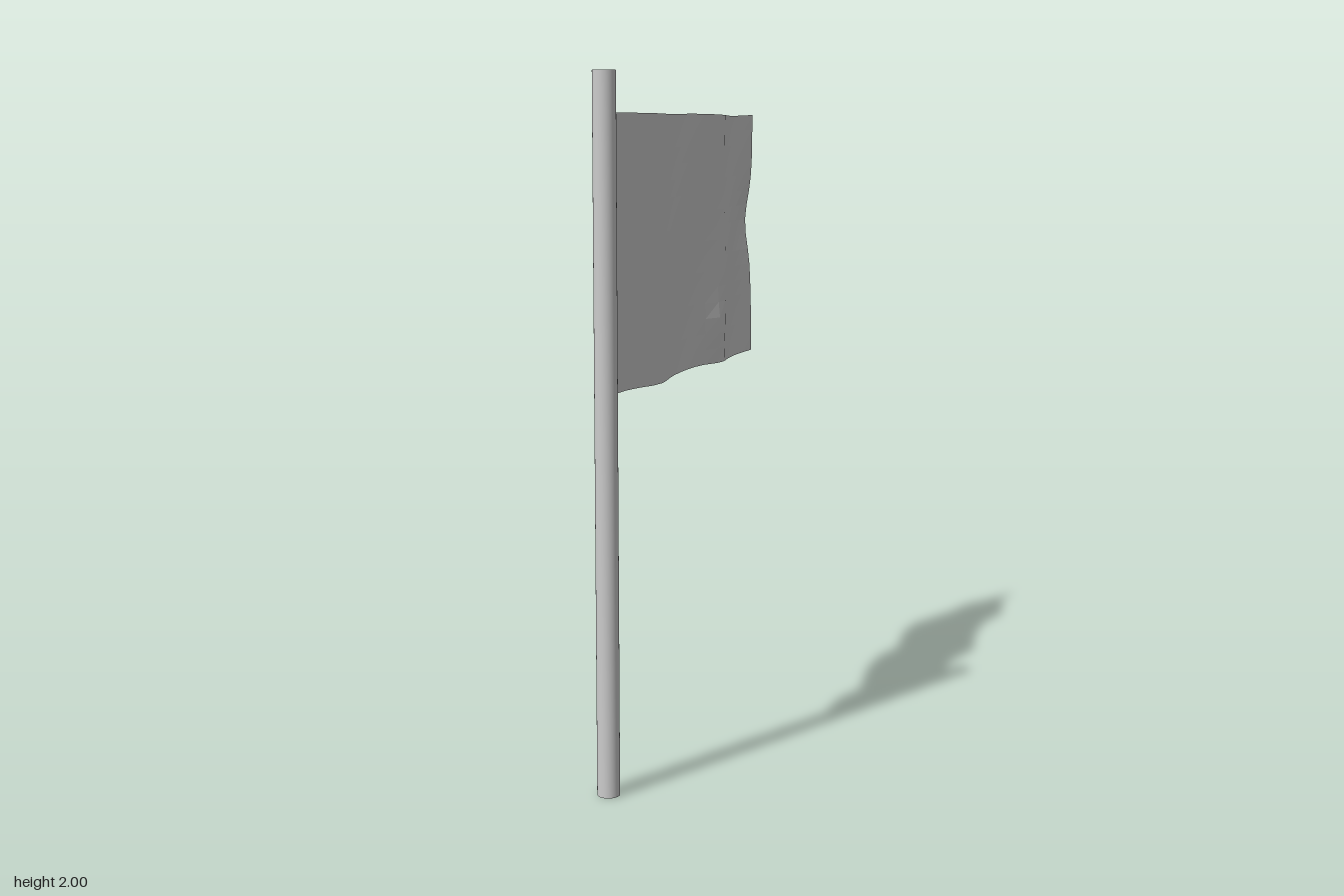
import * as THREE from 'three';

const POLE_Z = 0.59, POLE_R = 0.032, HEIGHT = 2;
const FLAG_BACK = -0.62, FLAG_LOW = 1.12, FLAG_TOP = 1.89;

// Sideways ripple of the cloth along its length: [z, x]
const RIPPLE = [
  [0.59, -0.004], [0.52, -0.013], [0.43, -0.02], [0.35, -0.006], [0.28, 0.016],
  [0.21, 0.02], [0.14, 0.002], [0.05, -0.012], [-0.06, -0.02], [-0.13, -0.019],
  [-0.19, -0.012], [-0.25, 0.01], [-0.32, 0.013], [-0.41, -0.006],
  [-0.49, -0.015], [-0.56, -0.013], [-0.62, -0.006],
];

function rippleAt(z) {
  for (let i = 1; i < RIPPLE.length; i++) {
    const [z0, x0] = RIPPLE[i - 1], [z1, x1] = RIPPLE[i];
    if (z >= z1) return THREE.MathUtils.lerp(x0, x1, (z0 - z) / (z0 - z1));
  }
  return RIPPLE[RIPPLE.length - 1][1];
}

const bump = (v, centre, width) => Math.exp(-(((v - centre) / width) ** 2));

export function createModel() {
  const model = new THREE.Group();

  // Upright pole
  const pole = new THREE.Mesh(
    new THREE.CylinderGeometry(POLE_R, POLE_R, HEIGHT, 32),
    new THREE.MeshStandardMaterial({ color: 0xcccccc }),
  );
  pole.name = 'pole';
  pole.position.set(0, HEIGHT / 2, POLE_Z);
  model.add(pole);

  // Rippling cloth: a grid bent sideways, faceted
  const length = POLE_Z - FLAG_BACK;
  const geometry = new THREE.PlaneGeometry(length, FLAG_TOP - FLAG_LOW, 20, 16);
  geometry.rotateY(Math.PI / 2);
  geometry.translate(0, (FLAG_TOP + FLAG_LOW) / 2, (POLE_Z + FLAG_BACK) / 2);
  const p = geometry.attributes.position;
  for (let i = 0; i < p.count; i++) {
    const y = p.getY(i), z = p.getZ(i);
    const t = (POLE_Z - z) / length;
    // Small drift of the waves with height
    let x = rippleAt(z) + 0.003 * t * Math.sin(9 * y + 14 * z);
    // Free edge bows in the middle, and a crease runs down to the lower hem
    x -= 0.018 * bump(y, 1.55, 0.1) * bump(z, FLAG_BACK, 0.1);
    x += 0.008 * bump(y, 1.24, 0.07) * bump(z, -0.25, 0.05);
    // Slightly wavy hems
    const hem = bump(y, FLAG_TOP, 0.03) + bump(y, FLAG_LOW, 0.03);
    p.setXYZ(i, x, y - 0.003 * hem * t * Math.sin(11 * z), z);
  }
  geometry.computeVertexNormals();

  const flag = new THREE.Mesh(geometry, new THREE.MeshStandardMaterial({
    color: 0xcccccc, flatShading: true, side: THREE.DoubleSide,
  }));
  flag.name = 'flag';
  model.add(flag);

  return model;
}
